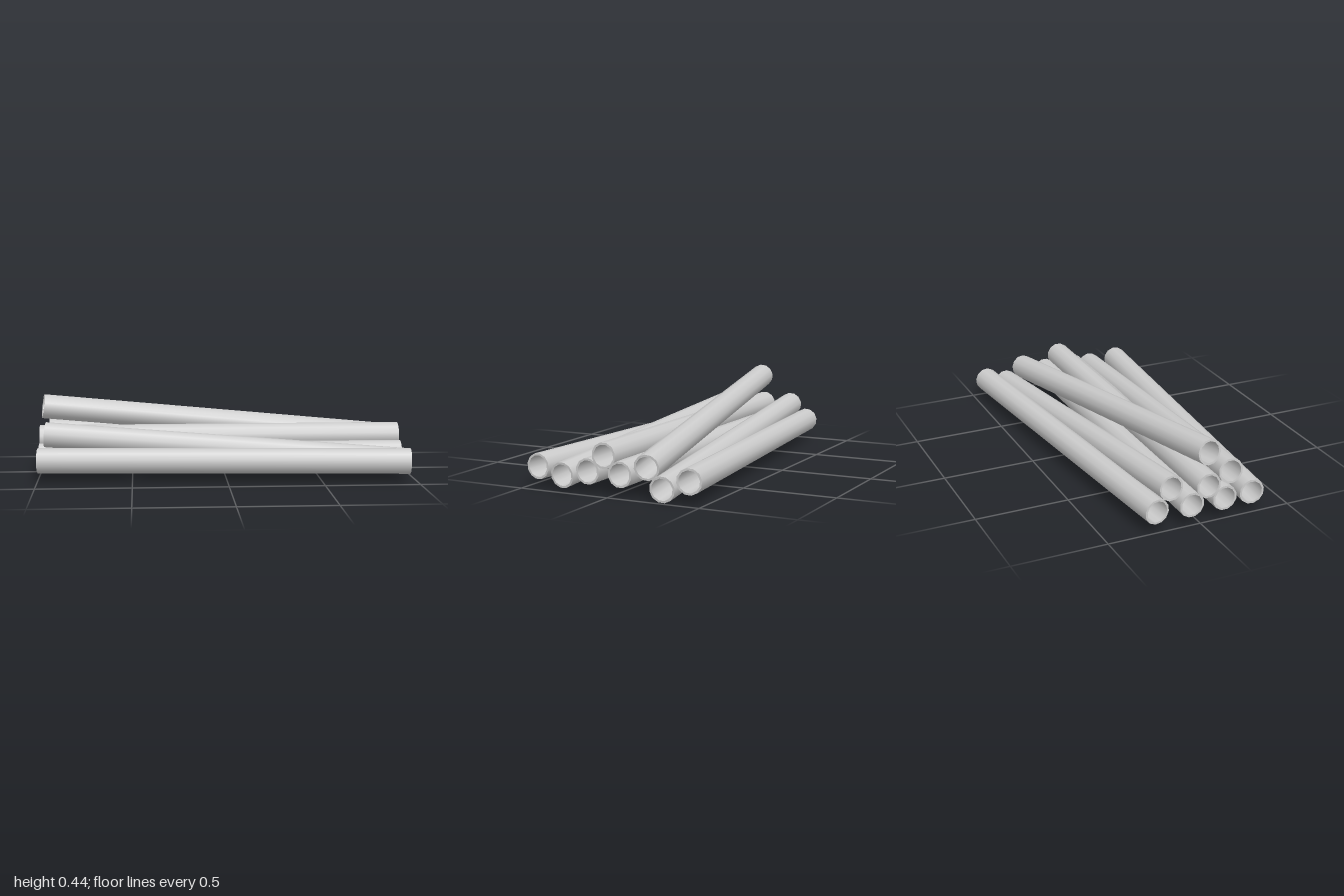
import * as THREE from 'three';
import { mergeGeometries } from 'three/addons/utils/BufferGeometryUtils.js';

const OUTER = 0.067, INNER = 0.056, LENGTH = 1.96, SIDES = 12;

// Hollow pipe along y: each wall is its own lathe so the rims stay sharp
function pipeGeometry() {
  const h = LENGTH / 2;
  const profile = [[OUTER, -h], [OUTER, h], [INNER, h], [INNER, -h], [OUTER, -h]]
    .map(([r, y]) => new THREE.Vector2(r, y));
  const walls = [];
  for (let i = 0; i < 4; i++) {
    walls.push(new THREE.LatheGeometry([profile[i], profile[i + 1]], SIDES, Math.PI / SIDES));
  }
  return mergeGeometries(walls);
}

export function createModel() {
  const group = new THREE.Group();
  group.name = 'pipePile';
  const material = new THREE.MeshStandardMaterial({ color: 0xcccccc });
  const geometry = pipeGeometry();
  const up = new THREE.Vector3(0, 1, 0);

  // Centres of the two ends of each pipe: [right end], [left end]
  const pipes = {
    frontPipe: [[-0.996, 0.116, 0.29], [0.958, 0.116, 0.425]],
    frontLeaningPipe: [[-0.963, 0.238, 0.185], [0.988, 0.09, 0.264]],
    middleFrontPipe: [[-1, 0.116, 0.135], [0.96, 0.116, 0.135]],
    middleTopPipe: [[-1, 0.202, 0.043], [0.96, 0.202, 0.043]],
    middleBackPipe: [[-1, 0.116, -0.048], [0.96, 0.116, -0.048]],
    topLeaningPipe: [[-0.98, 0.374, 0.053], [0.954, 0.162, -0.194]],
    backLeaningPipe: [[-0.965, 0.212, -0.145], [0.984, 0.07, -0.294]],
    backPipe: [[-0.994, 0.116, -0.235], [0.957, 0.116, -0.426]],
  };

  for (const [name, ends] of Object.entries(pipes)) {
    const [a, b] = ends.map((p) => new THREE.Vector3(...p));
    const pipe = new THREE.Mesh(geometry, material);
    pipe.name = name;
    pipe.position.copy(a).add(b).multiplyScalar(0.5);
    pipe.quaternion.setFromUnitVectors(up, b.sub(a).normalize());
    group.add(pipe);
  }
  return group;
}
